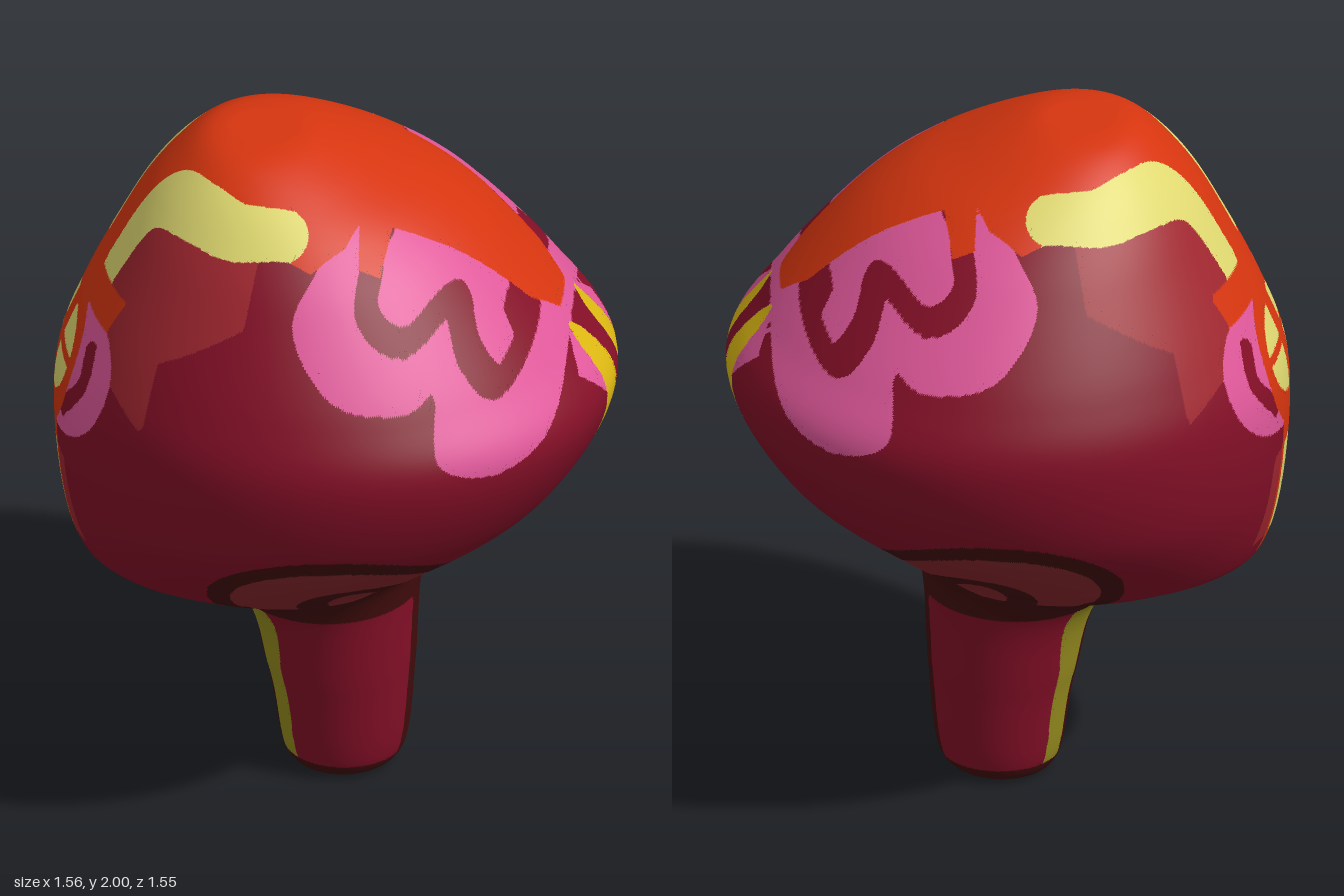
import * as THREE from 'three';

const COLORS = {
  crimson: 0x840f27, brick: 0xa0262f, orange: 0xd6350f, paleYellow: 0xdfd870, pink: 0xe0589a,
  gold: 0xdcb812, darkBrown: 0x420c0c, dullRed: 0x86262c, olive: 0x968c1e,
};

// Horizontal oval rings from the foot to the crown: y, left x, right x, half depth
const RINGS = [
  [0, 0.01, 0.01, 0], [0, -0.08, 0.1, 0.1], [0.05, -0.145, 0.19, 0.165], [0.3, -0.19, 0.22, 0.21],
  [0.57, -0.29, 0.235, 0.265], [0.68, -0.64, 0.265, 0.385], [0.75, -0.725, 0.37, 0.48],
  [0.98, -0.77, 0.64, 0.695], [1.25, -0.775, 0.78, 0.775], [1.45, -0.71, 0.67, 0.71],
  [1.7, -0.59, 0.46, 0.54], [1.83, -0.515, 0.3, 0.42], [1.92, -0.44, 0.12, 0.31],
  [1.98, -0.37, -0.02, 0.2], [2, -0.3, -0.1, 0.1], [2, -0.2, -0.2, 0],
];
const NECK = 4 / (RINGS.length - 1);
const spline = (f) => new THREE.CatmullRomCurve3(RINGS.map(f), false, 'catmullrom', 0.5);
const middle = spline(([y, l, r]) => new THREE.Vector3((l + r) / 2, y, 0));
const radii = spline(([, l, r, d]) => new THREE.Vector3((r - l) / 2, 0, d));

function surface(t, a) {
  const m = middle.getPoint(t), r = radii.getPoint(t);
  return new THREE.Vector3(m.x + r.x * Math.cos(a), THREE.MathUtils.clamp(m.y, 0, 2), r.z * Math.sin(a));
}
function normalAt(t, a) {
  const e = 0.002, s = THREE.MathUtils.clamp(t, 2 * e, 1 - 2 * e);
  const up = surface(s + e, a).sub(surface(s - e, a));
  return up.cross(surface(s, a + e).sub(surface(s, a - e))).normalize();
}

// Painted areas are laid out flat on one plane and mirrored front to back
const planes = {
  flank: (p) => [p.x, p.y],
  top: (p) => (p.y > 1.5 ? [p.x, Math.abs(p.z)] : null),
  right: (p) => (p.x > 0 ? [Math.abs(p.z), p.y] : null),
  left: (p) => (p.x < -0.02 ? [Math.abs(p.z), p.y] : null),
};
function smooth(pts, closed) {
  const c = new THREE.CatmullRomCurve3(pts.map(([x, y]) => new THREE.Vector3(x, y, 0)), closed);
  return c.getPoints(pts.length * 6).map((p) => [p.x, p.y]);
}
function inside([x, y], poly) {
  let hit = false;
  for (let i = 0, j = poly.length - 1; i < poly.length; j = i++) {
    const [ax, ay] = poly[i], [bx, by] = poly[j];
    if ((ay > y) !== (by > y) && x < ((bx - ax) * (y - ay)) / (by - ay) + ax) hit = !hit;
  }
  return hit;
}
function nearLine([x, y], line, width) {
  const last = line.length - 1;
  for (let i = 1; i <= last; i++) {
    const [ax, ay] = line[i - 1], dx = line[i][0] - ax, dy = line[i][1] - ay;
    const along = ((x - ax) * dx + (y - ay) * dy) / (dx * dx + dy * dy);
    if ((i === 1 && along < 0) || (i === last && along > 1)) continue;
    const k = THREE.MathUtils.clamp(along, 0, 1);
    if (Math.hypot(x - ax - k * dx, y - ay - k * dy) < width) return true;
  }
  return false;
}
const area = (color, plane, ...poly) => ({ color, plane: planes[plane], test: (q) => inside(q, poly) });
const blob = (color, plane, ...pts) => area(color, plane, ...smooth(pts, true));
const stroke = (color, plane, width, ...pts) => {
  const line = smooth(pts, false);
  return { color, plane: planes[plane], test: (q) => nearLine(q, line, width) };
};
const oval = (color, plane, cx, cy, rx, ry) => ({
  color, plane: planes[plane], test: ([x, y]) => Math.hypot((x - cx) / rx, (y - cy) / ry) < 1,
});
const band = (color, plane, x0, x1, y0, y1) => ({
  color, plane: planes[plane], test: ([x, y]) => x > x0 && x < x1 && y > y0 && y < y1,
});

// Nested arches low on each flank, with the collar and wedge of the underside
const underside = () => [
  oval('darkBrown', 'flank', 0.02, 0.79, 0.345, 0.23),
  oval('dullRed', 'flank', 0.015, 0.785, 0.275, 0.18),
  oval('darkBrown', 'flank', 0.07, 0.69, 0.155, 0.13),
  oval('dullRed', 'flank', 0.075, 0.69, 0.075, 0.085),
  band('darkBrown', 'flank', -1, 1, 0.5, 0.66),
  area('darkBrown', 'right', [0, 1.22], [0.07, 1], [0.16, 0.78], [0.32, 0.64], [-0.1, 0.6]),
];

// Brick shoulder and the large pink swirl
const flanks = () => [
  area('brick', 'flank', [-0.18, 1.85], [-0.22, 1.66], [-0.46, 1.52], [-0.505, 1.33], [-0.8, 1.55], [-0.5, 1.9]),
  blob('pink', 'flank', [0.075, 1.9], [-0.03, 1.79], [-0.085, 1.68], [0.03, 1.51], [0.25, 1.47], [0.305, 1.5],
    [0.33, 1.33], [0.48, 1.265], [0.61, 1.31], [0.655, 1.43], [0.6, 1.75], [0.3, 1.95], [0.13, 1.8]),
  stroke('crimson', 'flank', 0.032, [0.127, 1.81], [0.12, 1.7], [0.22, 1.625], [0.345, 1.68],
    [0.4, 1.56], [0.48, 1.475], [0.545, 1.54], [0.51, 1.62]),
];

// Orange crown with its yellow bands
const crown = () => [
  area('orange', 'top', [-0.8, -0.1], [-0.8, 0.09], [-0.4, 0.25], [-0.2, 0.4], [-0.04, 0.455], [0.05, 0.38], [0.085, 0.3],
    [0.09, 0.42], [0.15, 0.42], [0.175, 0.27], [0.3, 0.24], [0.55, 0.165], [0.64, 0.07], [0.635, -0.1]),
  stroke('paleYellow', 'top', 0.06, [-0.63, 0.14], [-0.47, 0.16], [-0.36, 0.27], [-0.25, 0.355], [-0.09, 0.375]),
];

// Gold leaves and small pink patches
const rightSide = () => [
  area('pink', 'right', [0.245, 1.375], [0.13, 1.46], [0.1, 1.4], [0.165, 1.28]),
  blob('gold', 'right', [0.11, 1.465], [0.06, 1.42], [0.04, 1.25], [0.075, 1], [0.13, 0.865], [0.175, 0.95], [0.175, 1.18]),
];

// Rosette, bars and panes
const leftSide = () => [
  oval('pink', 'left', 0.12, 1.335, 0.32, 0.21),
  stroke('crimson', 'left', 0.026, [0.28, 1.44], [0.325, 1.34], [0.22, 1.2]),
  band('orange', 'left', -0.1, 0.31, 1.5, 1.595),
  oval('orange', 'left', 0, 1.31, 0.25, 0.22),
  band('brick', 'left', 0.1, 0.23, 0.78, 1.06),
  band('orange', 'left', -0.1, 0.155, 0.73, 1.16),
  oval('paleYellow', 'left', 0.03, 1.32, 0.175, 0.125),
  band('paleYellow', 'left', 0.04, 0.13, 0.78, 1.06),
  band('orange', 'left', -0.1, 0.045, 0.74, 1.65),
  band('orange', 'left', -0.1, 0.24, 1.325, 1.35),
];

// Stripes, rims and foot of the handle
const handleStripes = () => [
  area('darkBrown', 'right', [-0.1, 0], [0.07, 0], [0.08, 0.54], [0.11, 0.6], [-0.1, 0.6]),
  area('olive', 'left', [-0.1, 0.04], [0.115, 0.04], [0.15, 0.35], [0.21, 0.6], [-0.1, 0.6]),
  area('darkBrown', 'left', [-0.1, 0.04], [0.055, 0.04], [0.075, 0.6], [-0.1, 0.6]),
  band('darkBrown', 'flank', -1, 1, 0.004, 0.05),
  band('darkBrown', 'flank', -1, 1, 0.562, 0.6),
  band('crimson', 'flank', -1, 1, -0.01, 0.004),
  band('olive', 'flank', -0.07, -0.02, -0.01, 0.004),
];

function colorOf(p, pattern) {
  for (let i = pattern.length - 1; i >= 0; i--) {
    const q = pattern[i].plane(p);
    if (q && pattern[i].test(q)) return pattern[i].color;
  }
  return 'crimson';
}

// Builds one stretch of the surface, refining triangles only where two colours meet
function buildPart(name, t0, t1, rows, cols, pattern, materials) {
  const buckets = {};
  const vertex = (t, a) => {
    const p = surface(t, a);
    return { t, a, p, n: normalAt(t, a), c: colorOf(p, pattern) };
  };
  const mid = (v, w) => vertex((v.t + w.t) / 2, (v.a + w.a) / 2);
  const emit = (a, b, c, depth) => {
    if (depth > 0 && !(a.c === b.c && b.c === c.c)) {
      const ab = mid(a, b), bc = mid(b, c), ca = mid(c, a);
      [[a, ab, ca], [ab, b, bc], [ca, bc, c], [ab, bc, ca]].forEach((f) => emit(...f, depth - 1));
      return;
    }
    const color = b.c === c.c ? b.c : a.c;
    const bucket = (buckets[color] ??= { position: [], normal: [] });
    for (const v of [a, b, c]) {
      bucket.position.push(...v.p.toArray());
      bucket.normal.push(...v.n.toArray());
    }
  };
  const grid = Array.from({ length: rows + 1 }, (_, i) => Array.from({ length: cols + 1 }, (_, j) =>
    vertex(t0 + ((t1 - t0) * i) / rows, (j / cols) * Math.PI * 2)));
  for (let i = 0; i < rows; i++) for (let j = 0; j < cols; j++) {
    const a = grid[i][j], b = grid[i + 1][j], c = grid[i + 1][j + 1], d = grid[i][j + 1];
    emit(a, b, d, 2);
    emit(b, c, d, 2);
  }
  const part = new THREE.Group();
  part.name = name;
  for (const [color, data] of Object.entries(buckets)) {
    const g = new THREE.BufferGeometry();
    for (const key of ['position', 'normal']) g.setAttribute(key, new THREE.Float32BufferAttribute(data[key], 3));
    const mesh = new THREE.Mesh(g, materials[color]);
    mesh.name = `${name} ${color} areas`;
    part.add(mesh);
  }
  return part;
}

export function createModel() {
  const materials = {};
  for (const [name, color] of Object.entries(COLORS)) {
    materials[name] = new THREE.MeshStandardMaterial({ color });
    materials[name].name = name;
  }
  const model = new THREE.Group();
  model.name = 'painted knob';
  const headPattern = [...underside(), ...flanks(), ...crown(), ...rightSide(), ...leftSide()];
  model.add(buildPart('handle', 0, NECK, 40, 96, handleStripes(), materials));
  model.add(buildPart('head', NECK, 1, 100, 192, headPattern, materials));
  return model;
}
